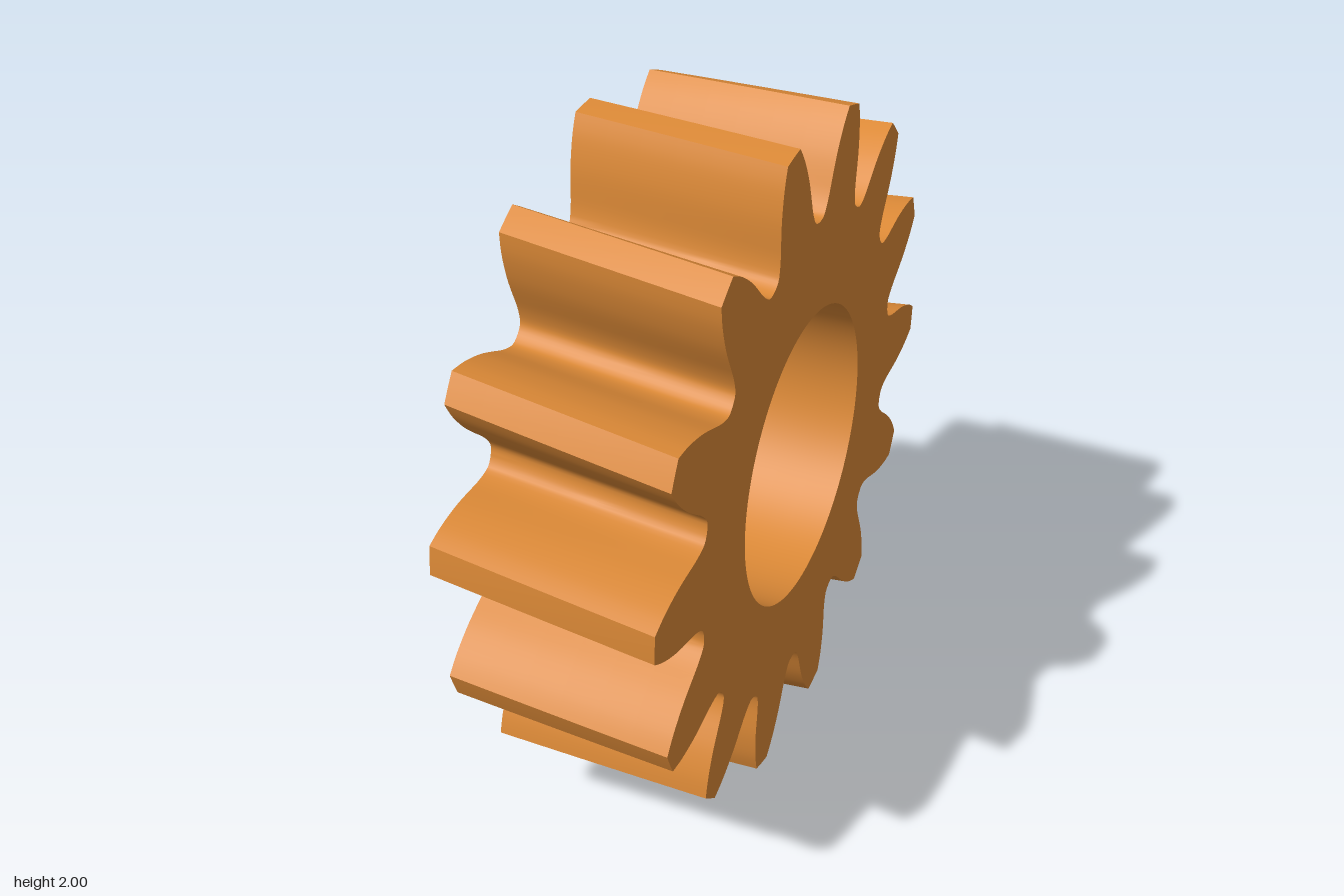
import * as THREE from 'three';
import { toCreasedNormals } from 'three/addons/utils/BufferGeometryUtils.js';

const TEETH = 14, WIDTH = 0.62, BORE = 0.444, TWIST = 0.072;
const PHASE = THREE.MathUtils.degToRad(97.4); // centre of the first tooth at mid width

// One flank from root to tip: [degrees from tooth centre, radius]
const FLANK = [
  [12.86, 0.72], [11.0, 0.724], [9.7, 0.74], [8.4, 0.775], [7.4, 0.82],
  [6.35, 0.87], [5.05, 0.92], [3.85, 0.96], [2.4, 1.0],
];

// Closed outline of all the teeth
function gearOutline() {
  const flank = new THREE.SplineCurve(FLANK.map(([a, r]) => new THREE.Vector2(a, r))).getPoints(18);
  // The root midpoint is shared with the next tooth, so it is dropped on one side
  const tooth = [
    ...flank.map((p) => [-p.x, p.y]),
    [0, 1],
    ...flank.slice(1).reverse().map((p) => [p.x, p.y]),
  ];
  const points = [];
  for (let i = 0; i < TEETH; i++) {
    const centre = PHASE + (i * 2 * Math.PI) / TEETH;
    for (const [deg, r] of tooth) {
      const a = centre + THREE.MathUtils.degToRad(deg);
      points.push(new THREE.Vector2(r * Math.cos(a), r * Math.sin(a)));
    }
  }
  return points;
}

export function createModel() {
  const group = new THREE.Group();
  group.name = 'helicalGear';
  const orange = new THREE.MeshStandardMaterial({ color: 0xdd8a37 });
  orange.name = 'orange';

  // Gear blank with a round bore
  const shape = new THREE.Shape(gearOutline());
  shape.holes.push(new THREE.Path().absarc(0, 0, BORE, 0, Math.PI * 2, true));
  const extruded = new THREE.ExtrudeGeometry(shape, {
    depth: WIDTH, steps: 6, curveSegments: 72, bevelEnabled: false,
  });
  extruded.translate(0, 0, -WIDTH / 2);

  // Twist along the axle to slant the teeth
  const pos = extruded.attributes.position;
  const v = new THREE.Vector3(), axis = new THREE.Vector3(0, 0, 1);
  for (let i = 0; i < pos.count; i++) {
    v.fromBufferAttribute(pos, i);
    v.applyAxisAngle(axis, (v.z / WIDTH) * TWIST);
    pos.setXYZ(i, v.x, v.y, v.z);
  }
  extruded.clearGroups();

  // Lay the axle along x and stand the gear on the ground
  extruded.rotateY(Math.PI / 2);
  extruded.translate(0, 1, 0);
  const gear = new THREE.Mesh(toCreasedNormals(extruded, 0.6), orange);
  gear.name = 'gearWheel';
  group.add(gear);
  return group;
}
